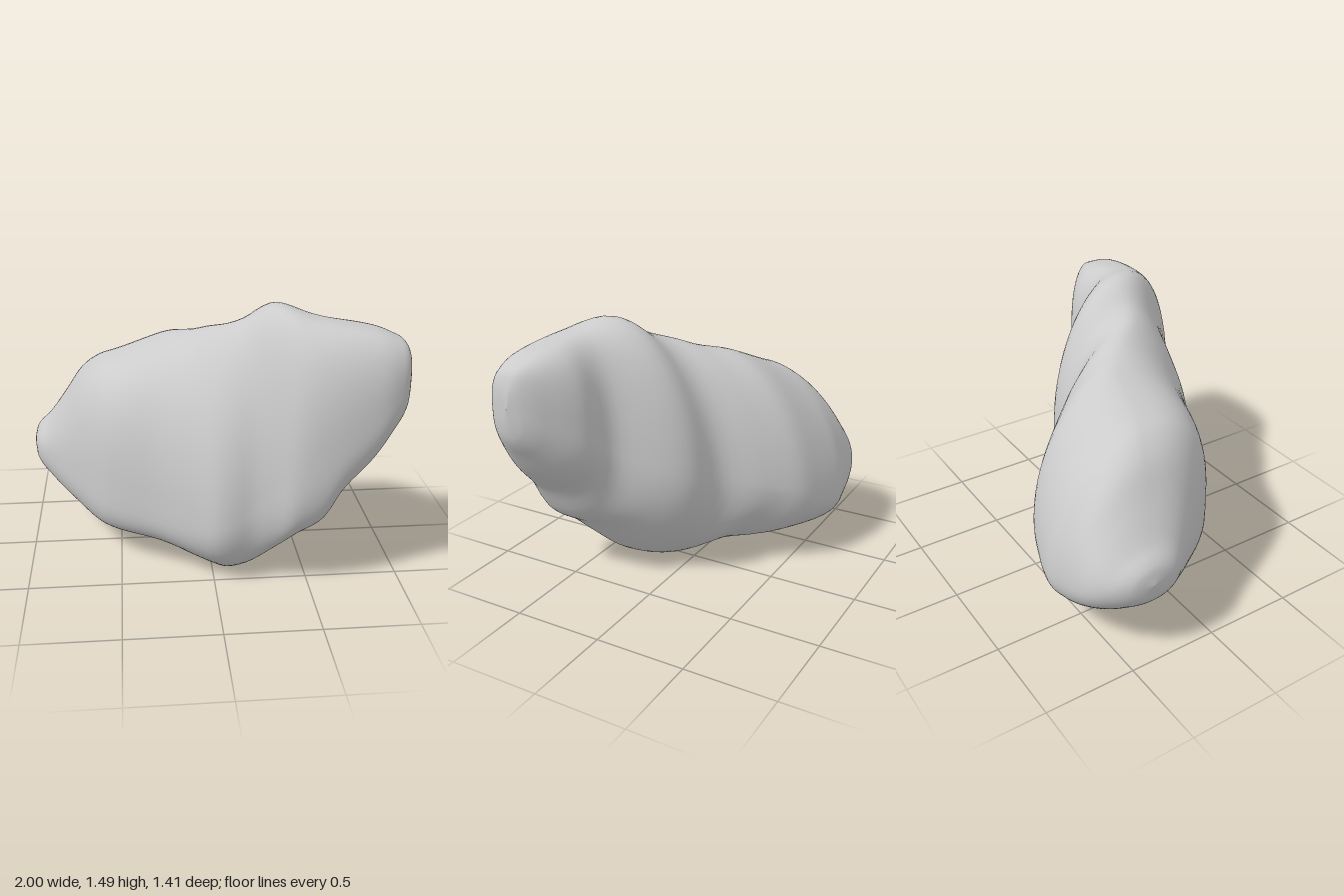
import * as THREE from 'three';

// Outlines along x, as [x, value] pairs
const top = [[-1, .5], [-.98, .58], [-.9, .67], [-.8, .82], [-.7, .98], [-.6, 1.07], [-.5, 1.115], [-.3, 1.2], [-.2, 1.24], [-.08, 1.275],
  [0, 1.315], [.17, 1.39], [.28, 1.47], [.35, 1.49], [.5, 1.45], [.8, 1.4], [.9, 1.365], [.96, 1.325], [.99, 1.24], [1, 1.15]];
const bottom = [[-1, .5], [-.98, .4], [-.9, .31], [-.75, .205], [-.6, .13], [-.3, .11], [-.2, .09], [-.1, .055], [0, .015], [.06, 0], [.12, .015],
  [.2, .06], [.3, .16], [.42, .29], [.56, .4], [.65, .56], [.8, .72], [.9, .86], [.97, .97], [.99, 1.05], [1, 1.15]];
const back = [[-1, -.38], [-.98, -.49], [-.9, -.6], [-.8, -.66], [-.6, -.69], [-.5, -.7], [-.3, -.645], [-.18, -.59], [-.1, -.51],
  [0, -.39], [.08, -.27], [.15, -.22], [.3, -.18], [.38, -.12], [.45, -.02], [.53, .13], [.6, .18], [.74, .21], [.9, .33], [.97, .41], [1, .48]];
const front = [[-1, -.38], [-.98, -.25], [-.9, -.13], [-.8, 0], [-.6, .24], [-.5, .31], [-.3, .41], [-.1, .53], [0, .595], [.08, .605],
  [.2, .595], [.3, .63], [.4, .69], [.57, .705], [.8, .68], [.9, .645], [.97, .585], [1, .48]];

// Section controls: height of widest points, z of crest and of keel
const backHeight = [[-1, .5], [-.5, .38], [0, .55], [.2, .6], [.6, .85], [1, 1.15]];
const frontHeight = [[-1, .5], [-.5, .42], [0, .36], [.2, .45], [.5, .74], [1, 1.15]];
const crest = [[-1, -.38], [-.5, -.15], [-.2, -.07], [0, .12], [.1, .21], [.35, .31], [.6, .42], [1, .48]];
const keel = [[-1, -.38], [-.5, -.2], [-.2, 0], [-.1, .12], [0, .2], [.1, .3], [.3, .42], [.57, .53], [.8, .52], [1, .48]];

// Roundness of the four quarters of a section
const topFront = [[-1, 2.1], [-.55, 2.8], [-.2, 2.2], [.05, 1.85], [.3, 2.2], [.5, 2.6], [1, 2.7]];
const topBack = [[-1, 2], [-.5, 1.78], [0, 1.85], [.35, 1.9], [.6, 2.4], [.85, 2.8], [1, 2.7]];
const lowBack = [[-1, 2], [-.5, 2.4], [-.25, 2.3], [-.1, 1.75], [0, 1.75], [.15, 2.1], [.5, 2.1], [1, 2.4]];
const lowFront = [[-1, 2.2], [-.5, 3.2], [-.2, 3], [0, 2.2], [.15, 2.1], [.5, 2.7], [1, 2.4]];

// Smooth interpolation with slopes from neighbouring points
function at(pts, x) {
  let i = 0;
  while (i < pts.length - 2 && x > pts[i + 1][0]) i++;
  const slope = k => {
    const a = pts[Math.max(k - 1, 0)], b = pts[Math.min(k + 1, pts.length - 1)];
    return (b[1] - a[1]) / (b[0] - a[0]);
  };
  const [x0, v0] = pts[i], [x1, v1] = pts[i + 1], h = x1 - x0, t = (x - x0) / h;
  const t2 = t * t, t3 = t2 * t;
  return (2 * t3 - 3 * t2 + 1) * v0 + (t3 - 2 * t2 + t) * h * slope(i)
    + (3 * t2 - 2 * t3) * v1 + (t3 - t2) * h * slope(i + 1);
}

// One point of the section at x, going from front over the crest to back and keel
function sectionPoint(x, angle) {
  const c = Math.cos(angle), s = Math.sin(angle);
  const power = 2 / at(s >= 0 ? (c >= 0 ? topFront : topBack) : (c >= 0 ? lowFront : lowBack), x);
  const u = Math.abs(c) ** power, v = Math.abs(s) ** power;
  const zMid = at(s >= 0 ? crest : keel, x), zEnd = at(c >= 0 ? front : back, x);
  const yMid = at(c >= 0 ? frontHeight : backHeight, x), yEnd = at(s >= 0 ? top : bottom, x);
  return [x, yMid + (yEnd - yMid) * v, zMid + (zEnd - zMid) * u];
}

// Closed skin over rings along x, shrinking to a point at both ends
function createRock() {
  const rings = 90, sides = 72, pos = [], index = [];
  for (let i = 0; i <= rings; i++) {
    const x = -Math.cos(Math.PI * i / rings);
    for (let j = 0; j < sides; j++) pos.push(...sectionPoint(x, 2 * Math.PI * j / sides));
  }
  for (let i = 0; i < rings; i++) for (let j = 0; j < sides; j++) {
    const a = i * sides + j, b = i * sides + (j + 1) % sides;
    index.push(a, a + sides, b + sides, a, b + sides, b);
  }
  const g = new THREE.BufferGeometry();
  g.setAttribute('position', new THREE.Float32BufferAttribute(pos, 3));
  g.setIndex(index);
  g.computeVertexNormals();
  return g;
}

export function createModel() {
  const group = new THREE.Group();
  group.name = 'boulder';
  const rock = new THREE.Mesh(createRock(), new THREE.MeshStandardMaterial({ color: 0xcccccc }));
  rock.name = 'rock';
  group.add(rock);
  return group;
}
